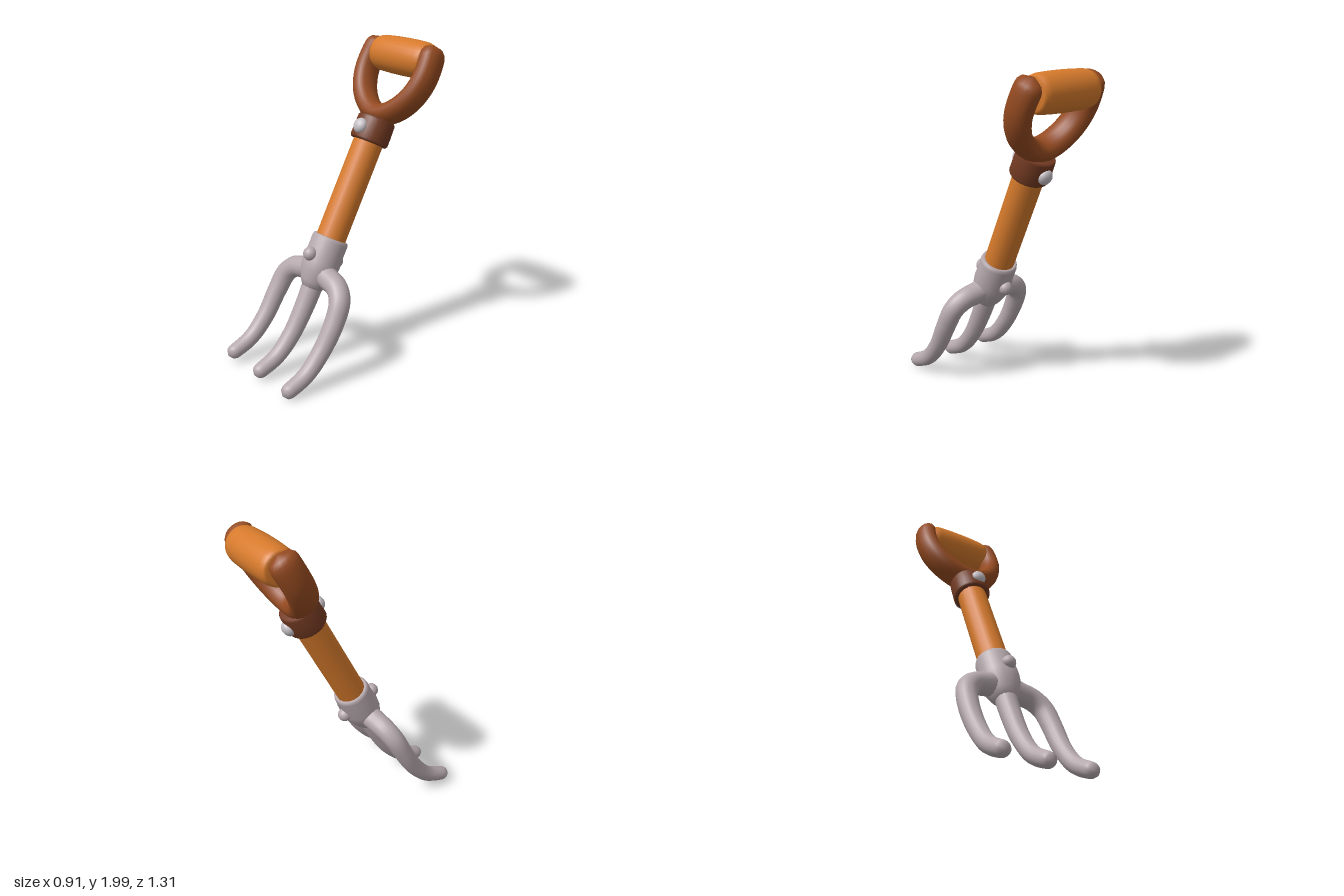
import * as THREE from 'three';
import { mergeVertices } from 'three/addons/utils/BufferGeometryUtils.js';

const V = (x, y, z = 0) => new THREE.Vector3(x, y, z);

function material(name, color) {
  const m = new THREE.MeshStandardMaterial({ color });
  m.name = name;
  return m;
}

// Round tube along points, with a radius that changes from r0 to r1 and rounded ends
function taperedTube(points, r0, r1, capStart = true) {
  const curve = new THREE.CatmullRomCurve3(points);
  const n = 48, sides = 16, length = curve.getLength();
  const geo = new THREE.TubeGeometry(curve, n, 1, sides);
  const pos = geo.attributes.position, p = V(0, 0);
  for (let i = 0; i <= n; i++) {
    const t = i / n, c = curve.getPointAt(t);
    let r = THREE.MathUtils.lerp(r0, r1, t);
    const ends = capStart ? [t, 1 - t] : [1 - t];
    for (const e of ends) {
      const k = 1 - Math.min(1, e * length / (r * 1.1));
      r *= Math.sqrt(Math.max(0, 1 - k * k));
    }
    for (let j = 0; j <= sides; j++) {
      const q = i * (sides + 1) + j;
      p.fromBufferAttribute(pos, q).sub(c).multiplyScalar(r).add(c);
      pos.setXYZ(q, p.x, p.y, p.z);
    }
  }
  geo.deleteAttribute('uv');
  geo.deleteAttribute('normal');
  const merged = mergeVertices(geo, 1e-5);
  merged.computeVertexNormals();
  return merged;
}

// Turned part from [radius, height] pairs, listed from bottom to top
const lathe = (pairs, sides = 28) =>
  new THREE.LatheGeometry(pairs.map(([r, y]) => new THREE.Vector2(r, y)), sides);

export function createModel() {
  const orangeWood = material('orangeWood', 0xd67a2c);
  const brownWood = material('brownWood', 0x944a20);
  const darkBrown = material('darkBrown', 0x733a22);
  const metal = material('greyMetal', 0xb6a9ad);
  const rivetMetal = material('rivetSilver', 0xc4bfc4);

  // The tool is built upright, then leaned back and turned
  const tool = new THREE.Group();
  tool.name = 'handFork';
  const add = (name, geo, mat) => {
    const mesh = new THREE.Mesh(geo, mat);
    mesh.name = name;
    tool.add(mesh);
    return mesh;
  };

  add('shaft', new THREE.CylinderGeometry(0.094, 0.094, 0.8, 16), orangeWood).position.y = 0.33;

  add('collar', lathe([[0.09, 0.635], [0.113, 0.637], [0.122, 0.65], [0.121, 0.71],
    [0.119, 0.78], [0.11, 0.795], [0, 0.797]]), darkBrown);

  // Y-shaped yoke, deeper than it is wide
  const half = [[0.1, 0.855], [0.195, 0.945], [0.245, 1.06], [0.25, 1.18], [0.225, 1.305]];
  const yokePath = [...half.map(([x, y]) => V(-x, y)).reverse(), V(0, 0.822), ...half.map(([x, y]) => V(x, y))];
  const yoke = taperedTube(yokePath, 0.066, 0.066);
  yoke.scale(1, 1, 1.38);
  yoke.computeVertexNormals();
  add('handleYoke', yoke, brownWood);

  // Barrel grip between the arms
  const grip = add('grip', lathe([[0, -0.218], [0.088, -0.216], [0.104, -0.205], [0.112, -0.17],
    [0.116, -0.08], [0.117, 0], [0.116, 0.08], [0.112, 0.17], [0.104, 0.205], [0.088, 0.216], [0, 0.218]]), orangeWood);
  grip.rotation.z = -Math.PI / 2;
  grip.position.set(0, 1.21, -0.02);

  // Metal socket flaring into the shoulders
  add('socket', lathe([[0, -0.36], [0.06, -0.34], [0.09, -0.29], [0.115, -0.22], [0.121, -0.16], [0.116, -0.08],
    [0.117, -0.02], [0.112, 0.0], [0.102, 0.004], [0.09, 0]]), metal);

  // Three curved tines, the outer two springing from rounded shoulders
  const lower = [[-0.46, 0], [-0.64, 0.015], [-0.8, 0.065], [-0.945, 0.185]];
  const tineEnd = x => lower.map(([y, z]) => V(x, y, z));
  add('middleTine', taperedTube([V(0, -0.2), V(0, -0.32), ...tineEnd(0)], 0.07, 0.046, false), metal);
  for (const [name, s] of [['leftTine', 1], ['rightTine', -1]]) {
    const path = [V(0, -0.2), V(s * 0.11, -0.235), V(s * 0.205, -0.262), V(s * 0.265, -0.325), ...tineEnd(s * 0.288)];
    add(name, taperedTube(path, 0.074, 0.046, false), metal);
  }

  // Rivets front and back
  for (const s of [1, -1]) {
    const side = s > 0 ? 'front' : 'back';
    const bump = add(side + 'SocketRivet', new THREE.SphereGeometry(0.044, 16, 12), metal);
    bump.position.set(0, -0.13, s * 0.118);
    const rivet = add(side + 'CollarRivet', new THREE.SphereGeometry(0.048, 16, 12), rivetMetal);
    rivet.scale.z = 0.75;
    rivet.position.set(0, 0.71, s * 0.116);
  }

  // Lean along the shaft direction, with the tines spread along the side direction
  const up = V(0.133, 1, -0.48).normalize();
  const front = V(0.975, -0.05, 0.2).cross(up).normalize();
  const side = up.clone().cross(front);
  tool.quaternion.setFromRotationMatrix(new THREE.Matrix4().makeBasis(side, up, front));
  tool.position.set(-0.005, 0.8, 0.026);

  // Stand on the ground, centred
  const model = new THREE.Group();
  model.name = 'gardenFork';
  model.add(tool);
  model.updateMatrixWorld(true);
  const box = new THREE.Box3().setFromObject(model, true);
  const c = box.getCenter(V(0, 0));
  tool.position.sub(V(c.x, box.min.y, c.z));
  return model;
}
